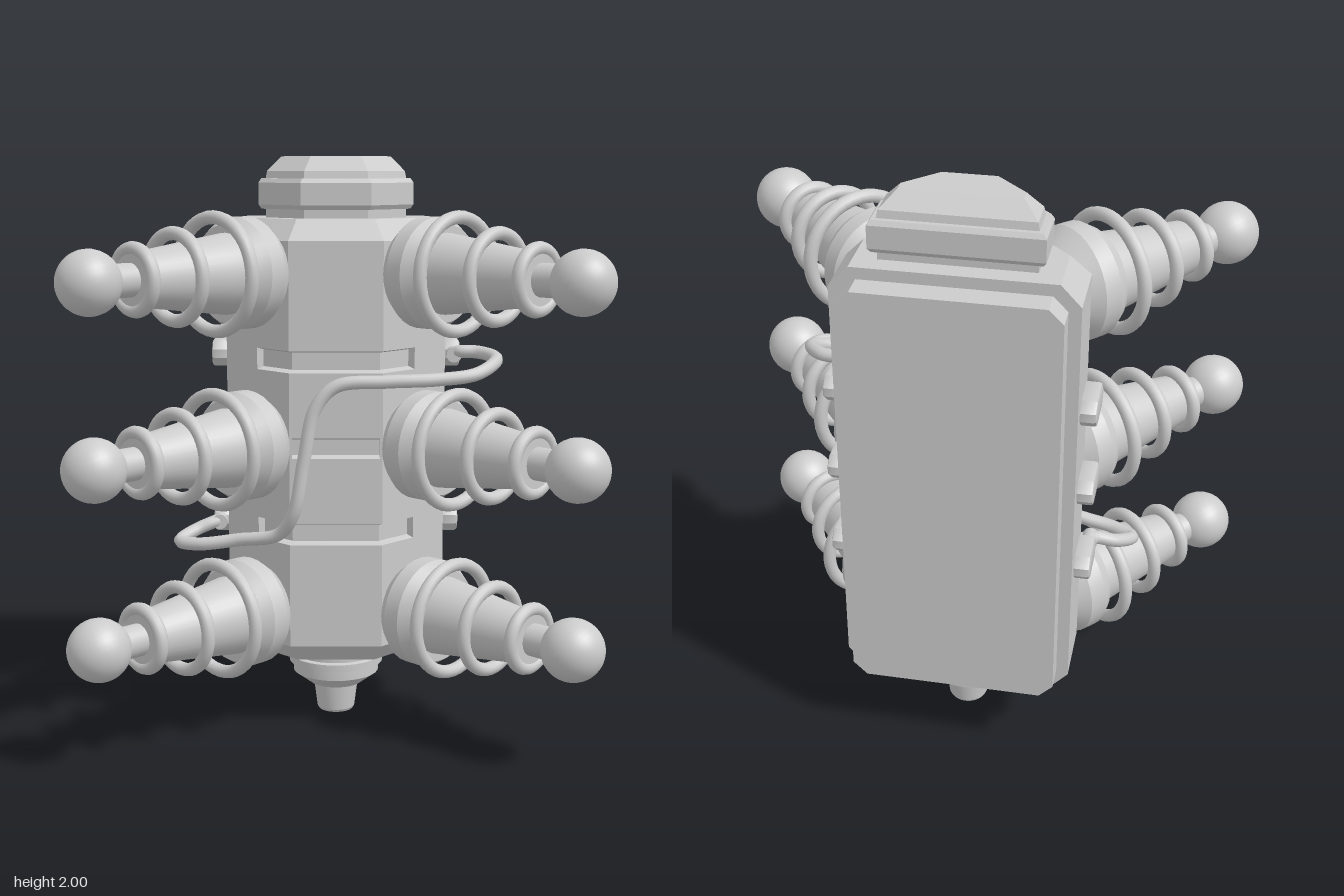
import * as THREE from 'three';
import { toCreasedNormals } from 'three/addons/utils/BufferGeometryUtils.js';

const material = new THREE.MeshStandardMaterial({ color: 0xcccccc });
const V3 = (x, y, z) => new THREE.Vector3(x, y, z);

function part(name, geometry, parent, crease = 0.55) {
  const mesh = new THREE.Mesh(crease ? toCreasedNormals(geometry, crease) : geometry, material);
  mesh.name = name;
  parent.add(mesh);
  return mesh;
}

// Skin between stacked outlines: layers are [y, [[x, z], ...]]
function loft(layers) {
  const pos = [];
  const tri = (a, b, c) => {
    const area = b.clone().sub(a).cross(c.clone().sub(a)).length();
    if (area > 1e-8) pos.push(...a.toArray(), ...b.toArray(), ...c.toArray());
  };
  const rings = layers.map(([y, pts]) => pts.map(([x, z]) => V3(x, y, z)));
  const n = rings[0].length;
  for (let k = 0; k < rings.length - 1; k++) {
    for (let i = 0; i < n; i++) {
      const j = (i + 1) % n;
      tri(rings[k][i], rings[k + 1][i], rings[k + 1][j]);
      tri(rings[k][i], rings[k + 1][j], rings[k][j]);
    }
  }
  const cap = (ring, up) => {
    const c = ring.reduce((s, p) => s.add(p), V3(0, 0, 0)).divideScalar(n);
    ring.forEach((p, i) => {
      const q = ring[(i + 1) % n];
      up ? tri(c, q, p) : tri(c, p, q);
    });
  };
  cap(rings[0], false);
  cap(rings[rings.length - 1], true);
  const g = new THREE.BufferGeometry();
  g.setAttribute('position', new THREE.Float32BufferAttribute(pos, 3));
  g.computeVertexNormals();
  return g;
}

const mirrored = half => [...half, ...half.slice().reverse().map(([x, z]) => [-x, z])];
const T = Math.tan(Math.PI / 8);

// Housing outline; wide = groove depth round three faces, mid = front slot depth
function housingOutline(inset = 0, wide = 0, mid = 0) {
  const shoulder = [0.385 - inset, -0.205 - inset * T];
  const front = [0.16 - inset * T, 0.02 - inset];
  const g = [(shoulder[0] + front[0]) / 2, (shoulder[1] + front[1]) / 2];
  const w = wide * Math.SQRT1_2;
  const slotX = front[0] * 0.94;
  return mirrored([
    [0.385 - inset, -0.43], shoulder, g, [g[0] - w, g[1] - w],
    [front[0] - wide * T, front[1] - wide],
    [slotX, front[1] - wide], [slotX, front[1] - wide - mid],
  ]);
}

// Cap outline, inset evenly on all six sides
const capOutline = d => mirrored([
  [0.27 - d, -0.39 + d], [0.27 - d, -0.235 - d * T], [0.12 - d * T, -0.085 - d],
]);

const lathe = (pts, seg = 32) =>
  new THREE.LatheGeometry(pts.map(p => new THREE.Vector2(...p)), seg);

// Insulator arm built along +y from its seat on the slanted face
function insulatorArm(side, y) {
  const arm = new THREE.Group();
  arm.name = side > 0 ? 'leftInsulatorArm' : 'rightInsulatorArm';
  part('flange', lathe([[0, -0.03], [0.14, -0.03], [0.19, 0.04], [0.19, 0.1], [0.165, 0.14], [0, 0.14]]), arm);
  part('core', lathe([[0.14, 0.12], [0.13, 0.2], [0.085, 0.54], [0, 0.54]]), arm);
  part('neck', lathe([[0.055, 0.52], [0.055, 0.65]]), arm);
  for (const [s, r] of [[0.19, 0.19], [0.36, 0.143], [0.525, 0.1]]) {
    const ring = part('ring', new THREE.TorusGeometry(r, 0.023, 12, 40), arm, 0);
    ring.rotation.x = Math.PI / 2;
    ring.position.y = s;
  }
  part('ball', new THREE.SphereGeometry(0.106, 32, 20), arm, 0).position.y = 0.703;
  arm.position.set(side * 0.2725, y, -0.0925);
  arm.quaternion.setFromUnitVectors(V3(0, 1, 0), V3(side, 0, 1).normalize());
  return arm;
}

// Chamfered rectangle shape centred on the origin
function cutRect(w, h, c) {
  const half = [[w, h - c], [w - c, h], [c - w, h], [-w, h - c]];
  const pts = [...half, ...half.map(([x, y]) => [-x, -y])];
  return new THREE.Shape(pts.map(p => new THREE.Vector2(...p)));
}

export function createModel() {
  const model = new THREE.Group();
  model.name = 'insulatorUnit';

  // Housing with chamfered ends, two wrap-round grooves and a front slot
  const layers = [[0.24, housingOutline(0.065)], [0.31, housingOutline()]];
  for (const [y0, y1, wide, mid] of [[0.675, 0.75, 0.03, 0], [0.98, 1.05, 0, 0.025], [1.275, 1.35, 0.03, 0]]) {
    layers.push([y0, housingOutline()], [y0 + 0.008, housingOutline(0, wide, mid)],
      [y1 - 0.008, housingOutline(0, wide, mid)], [y1, housingOutline()]);
  }
  layers.push([1.72, housingOutline()], [1.79, housingOutline(0.065)]);
  part('housing', loft(layers), model, 0.2);

  // Back plate
  const plate = part('backPlate',
    new THREE.ExtrudeGeometry(cutRect(0.345, 0.738, 0.047), { depth: 0.085, bevelEnabled: false }), model, 0.2);
  plate.position.set(0, 1.013, -0.515);

  // Top cap with bevelled band
  part('topCap', loft([[1.785, 0.025], [1.82, 0.025], [1.82, 0.01], [1.835, 0], [1.91, 0], [1.925, 0.01],
    [1.925, 0.025], [1.95, 0.03], [2, 0.08]].map(([y, d]) => [y, capOutline(d)])), model, 0.2);

  // Bottom nozzle with a hollow tip
  part('nozzle', lathe([[0, 0.05], [0.045, 0.05], [0.045, 0.005], [0.052, 0], [0.062, 0], [0.068, 0.01],
    [0.08, 0.105], [0.095, 0.105], [0.155, 0.15], [0.155, 0.183], [0.17, 0.187], [0.17, 0.213],
    [0.155, 0.217], [0.155, 0.25]]), model, 0.4).position.z = -0.23;

  for (const side of [1, -1]) {
    for (const y of [1.61, 1.015, 0.42]) model.add(insulatorArm(side, y));

    // Side connectors with bevelled outer edges
    for (const y of [1.315, 1.015, 0.715]) {
      const shape = cutRect(0.08, 0.036, 0.025);
      const g = new THREE.ExtrudeGeometry(shape,
        { depth: 0.04, bevelThickness: 0.01, bevelSize: 0.01, bevelSegments: 2 });
      const c = part('sideConnector', g, model, 0.4);
      c.rotation.y = side * Math.PI / 2;
      c.position.set(side * 0.388, y, -0.295);
    }
  }

  // Cable plugs
  for (const [side, y] of [[1, 1.315], [-1, 0.715]]) {
    const plug = part('cablePlug', new THREE.CylinderGeometry(0.027, 0.027, 0.05, 16), model);
    plug.rotation.x = Math.PI / 2;
    plug.position.set(side * 0.415, y, -0.19);
  }

  // Cable crossing the front from one side to the other
  const path = new THREE.CatmullRomCurve3([
    [0.415, 1.315, -0.21], [0.43, 1.325, -0.18], [0.5, 1.325, -0.165], [0.555, 1.31, -0.09],
    [0.48, 1.27, 0.0], [0.34, 1.255, 0.035], [0.17, 1.25, 0.052], [0.0, 1.235, 0.058],
    [-0.07, 1.16, 0.065], [-0.11, 0.98, 0.075], [-0.145, 0.8, 0.075], [-0.2, 0.715, 0.03],
    [-0.34, 0.685, -0.02], [-0.48, 0.665, -0.04], [-0.55, 0.665, -0.085],
    [-0.5, 0.69, -0.15], [-0.43, 0.715, -0.18], [-0.415, 0.715, -0.21],
  ].map(p => V3(...p)));
  part('cable', new THREE.TubeGeometry(path, 120, 0.023, 12), model, 0);

  return model;
}
